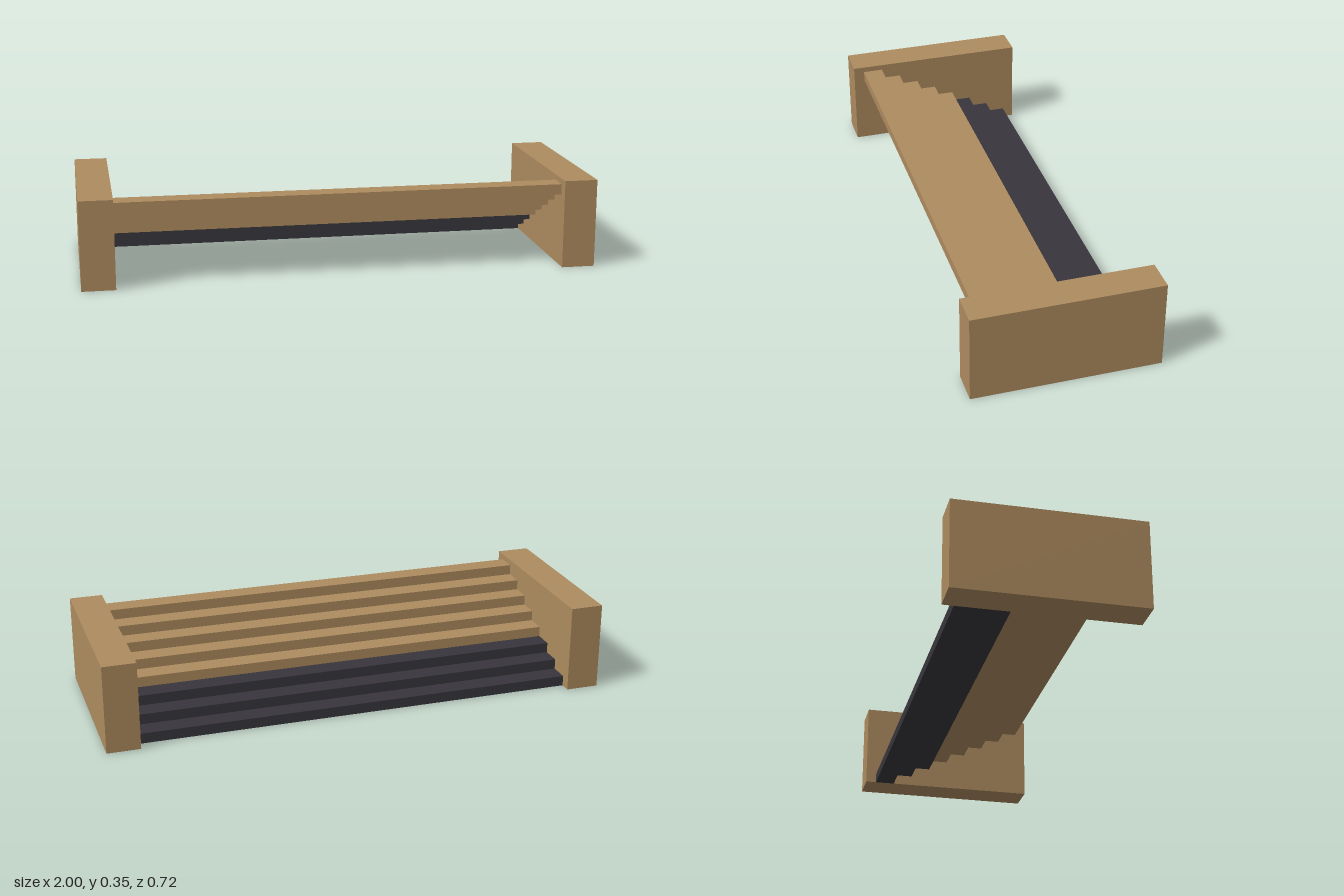
import * as THREE from 'three';

export function createModel() {
  const model = new THREE.Group();
  model.name = 'steppedBench';

  const wood = new THREE.MeshStandardMaterial({ color: 0xae8c5f });
  wood.name = 'wood';
  const charcoal = new THREE.MeshStandardMaterial({ color: 0x38363c });
  charcoal.name = 'charcoal';

  function addBox(name, size, position, material) {
    const mesh = new THREE.Mesh(new THREE.BoxGeometry(...size), material);
    mesh.name = name;
    mesh.position.set(...position);
    model.add(mesh);
  }

  // Solid end walls
  const height = 0.348, wallWidth = 0.13;
  for (const [name, side] of [['leftWall', 1], ['rightWall', -1]]) {
    addBox(name, [wallWidth, height, 0.724], [side * (1 - wallWidth / 2), height / 2, 0], wood);
  }

  // Slats climbing from the back to the front, the lowest three dark
  const count = 8, rise = 0.326 / count, run = 0.637 / count;
  for (let i = 0; i < count; i++) {
    addBox(`step${i + 1}`, [1.74, rise, run],
      [0, (i + 0.5) * rise, (i + 0.5 - count / 2) * run], i < 3 ? charcoal : wood);
  }

  return model;
}
